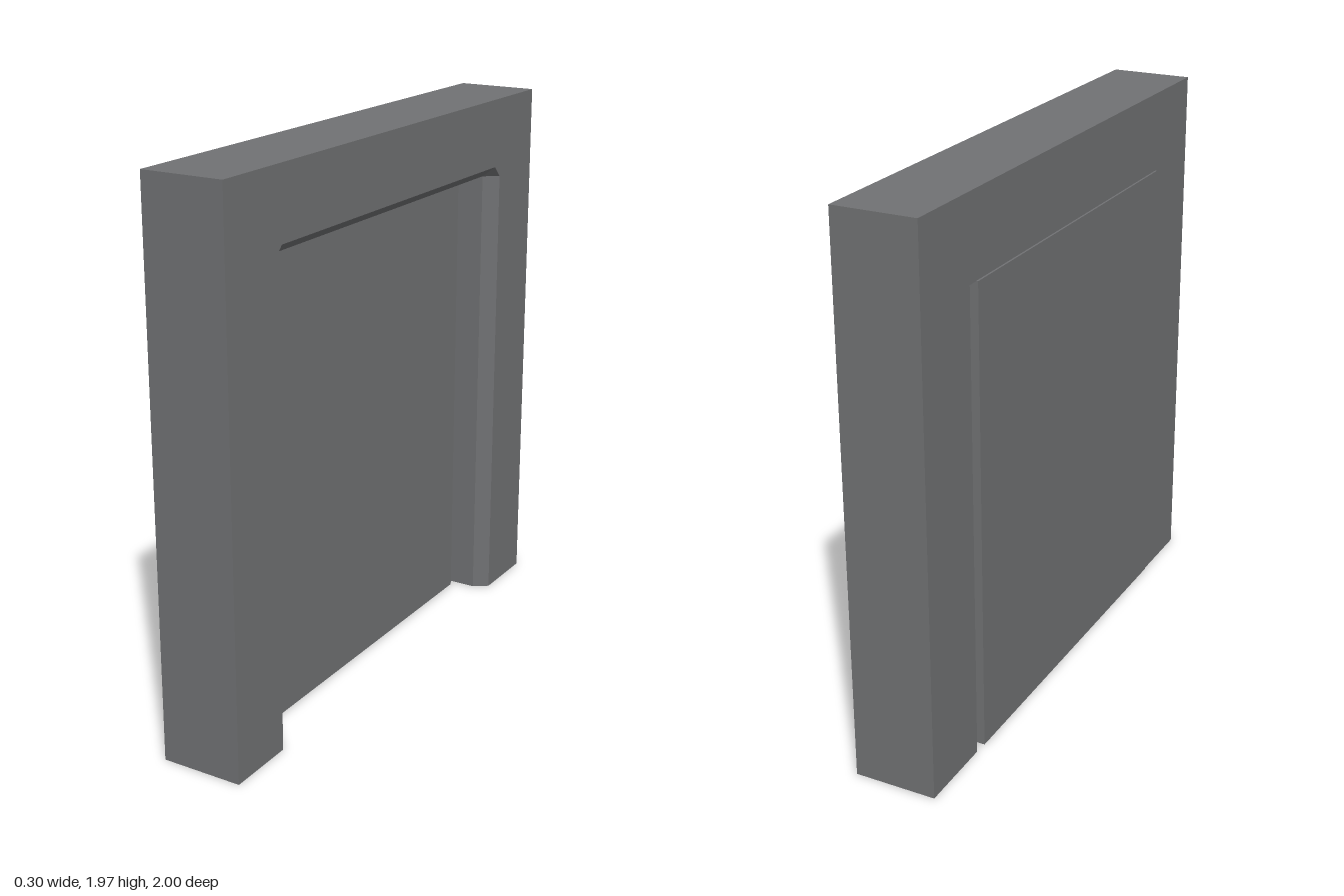
import * as THREE from 'three';

// Lofts open paths into a closed ring of bands and caps both ends (convex section).
function loftRing(sections) {
  const pos = [];
  const tri = (a, b, c) => pos.push(...a, ...b, ...c);
  const n = sections.length, last = sections[0].length - 1;
  for (let i = 0; i < n; i++) {
    const s = sections[i], t = sections[(i + 1) % n];
    for (let j = 0; j < last; j++) {
      tri(s[j], t[j], t[j + 1]);
      tri(s[j], t[j + 1], s[j + 1]);
    }
  }
  for (let i = 1; i < n - 1; i++) {
    tri(sections[0][0], sections[i + 1][0], sections[i][0]);
    tri(sections[0][last], sections[i][last], sections[i + 1][last]);
  }
  const g = new THREE.BufferGeometry();
  g.setAttribute('position', new THREE.Float32BufferAttribute(pos, 3));
  g.computeVertexNormals();
  return g;
}

// Doorway-shaped path: up one side, over the top, down the other, with cut corners.
function arch(x, halfWidth, top, cut = 0) {
  const side = [[x, 0, halfWidth], [x, top - cut, halfWidth], [x, top, halfWidth - cut]];
  const mirrored = side.map(([px, py, pz]) => [px, py, -pz]).reverse();
  return [...side, ...mirrored];
}

export function createModel() {
  const group = new THREE.Group();
  const grey = new THREE.MeshStandardMaterial({ color: 0x707173 });
  grey.name = 'grey';

  const back = -0.145, front = 0.152, bevel = 0.1;

  // Wall with a doorway whose front edge is bevelled
  const wall = new THREE.Mesh(loftRing([
    arch(back, 1, 1.97),
    arch(front, 1, 1.97),
    arch(front, 0.745, 1.72, 0.04),
    arch(bevel, 0.708, 1.68),
    arch(back, 0.708, 1.68),
  ]), grey);
  wall.name = 'wallFrame';
  group.add(wall);

  // Sliding door panel, leaving a narrow gap at one jamb
  const z0 = -0.668, z1 = 0.708, x0 = -0.152, x1 = 0.02, y0 = 0.006, y1 = 1.681;
  const door = new THREE.Mesh(new THREE.BoxGeometry(x1 - x0, y1 - y0, z1 - z0), grey);
  door.position.set((x0 + x1) / 2, (y0 + y1) / 2, (z0 + z1) / 2);
  door.name = 'doorPanel';
  group.add(door);

  return group;
}
